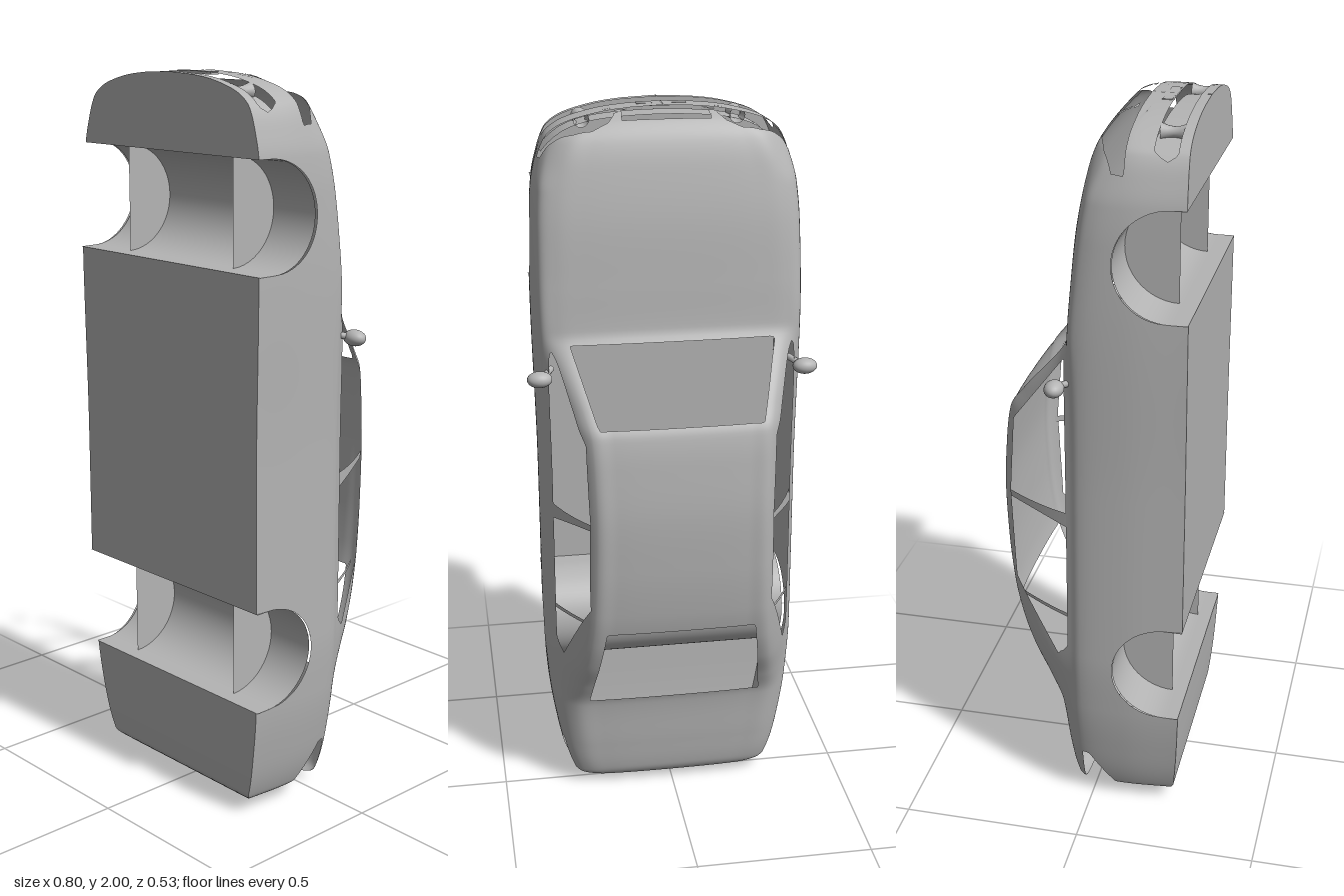
import * as THREE from 'three';

// Smooth monotone curve through [input, value] pairs
function curve(pts) {
  const n = pts.length, d = [], m = [];
  for (let i = 0; i < n - 1; i++) d.push((pts[i + 1][1] - pts[i][1]) / (pts[i + 1][0] - pts[i][0]));
  for (let i = 0; i < n; i++) {
    if (i === 0) m.push(d[0]);
    else if (i === n - 1) m.push(d[n - 2]);
    else m.push(d[i - 1] * d[i] > 0 ? 2 * d[i - 1] * d[i] / (d[i - 1] + d[i]) : 0);
  }
  return (x) => {
    let i = 0;
    while (i < n - 2 && x > pts[i + 1][0]) i++;
    const h = pts[i + 1][0] - pts[i][0], t = (x - pts[i][0]) / h, s = 1 - t;
    return pts[i][1] * (1 + 2 * t) * s * s + m[i] * h * t * s * s
      + pts[i + 1][1] * t * t * (3 - 2 * t) - m[i + 1] * h * t * t * s;
  };
}

// Signed distance to a convex outline, negative inside
function outline(pts) {
  let area = 0;
  pts.forEach((p, i) => { const q = pts[(i + 1) % pts.length]; area += p[0] * q[1] - q[0] * p[1]; });
  const sign = Math.sign(area);
  return (a, b) => Math.max(...pts.map((p, i) => {
    const q = pts[(i + 1) % pts.length], dx = q[0] - p[0], dy = q[1] - p[1];
    return sign * ((a - p[0]) * dy - (b - p[1]) * dx) / Math.hypot(dx, dy);
  }));
}

// Grid surface from point(u, v), trimmed where keep(x, y, z) is negative
function surface(nu, nv, point, keep = () => 1) {
  const pos = [], idx = [];
  for (let i = 0; i <= nu; i++) for (let j = 0; j <= nv; j++) pos.push(...point(i / nu, j / nv));
  for (let i = 0; i < nu; i++) for (let j = 0; j < nv; j++) {
    const a = i * (nv + 1) + j, b = a + nv + 1;
    idx.push(a, b, a + 1, b, b + 1, a + 1);
  }
  const grid = new THREE.BufferGeometry();
  grid.setAttribute('position', new THREE.Float32BufferAttribute(pos, 3));
  grid.setIndex(idx);
  grid.computeVertexNormals();
  const nor = grid.attributes.normal.array, P = [], N = [];
  const verts = [];
  for (let i = 0; i < pos.length; i += 3) {
    const p = pos.slice(i, i + 3);
    verts.push({ p, n: [nor[i], nor[i + 1], nor[i + 2]], f: keep(...p) });
  }
  const mix = (a, b, t) => a.map((v, k) => v + (b[k] - v) * t);
  for (let i = 0; i < idx.length; i += 3) {
    const tri = [verts[idx[i]], verts[idx[i + 1]], verts[idx[i + 2]]], out = [];
    tri.forEach((a, k) => {
      const b = tri[(k + 1) % 3];
      if (a.f >= 0) out.push(a);
      if ((a.f >= 0) !== (b.f >= 0)) {
        const t = a.f / (a.f - b.f);
        out.push({ p: mix(a.p, b.p, t), n: mix(a.n, b.n, t) });
      }
    });
    for (let k = 1; k < out.length - 1; k++)
      for (const v of [out[0], out[k], out[k + 1]]) { P.push(...v.p); N.push(...v.n); }
  }
  const g = new THREE.BufferGeometry();
  g.setAttribute('position', new THREE.Float32BufferAttribute(P, 3));
  g.setAttribute('normal', new THREE.Float32BufferAttribute(N, 3));
  return g;
}

// Body lines along the length (y): half width, floor, shoulder and top heights (z)
const width = curve([[0, 0.001], [0.004, 0.12], [0.015, 0.22], [0.03, 0.275], [0.05, 0.3], [0.2, 0.338], [0.33, 0.355],
  [0.5, 0.364], [1, 0.363], [1.5, 0.37], [1.7, 0.366], [1.8, 0.358], [1.86, 0.344], [1.925, 0.318], [1.955, 0.28],
  [1.985, 0.18], [1.997, 0.08], [2, 0.001]]);
const floorZ = curve([[0, 0.17], [0.02, 0.2], [0.06, 0.238], [0.33, 0.256], [0.62, 0.265], [1.5, 0.265], [1.8, 0.255], [2, 0.25]]);
const beltZ = curve([[0, 0.085], [0.015, 0], [0.04, -0.035], [0.2, -0.045], [0.5, -0.05], [1.42, -0.045], [1.6, -0.03],
  [1.8, 0], [1.9, 0.035], [1.97, 0.06], [2, 0.1]]);
const topZ = curve([[0, 0.08], [0.012, -0.01], [0.03, -0.052], [0.06, -0.068], [0.15, -0.082], [0.3, -0.1], [0.38, -0.135],
  [0.47, -0.185], [0.56, -0.22], [0.66, -0.243], [0.8, -0.258], [0.95, -0.264], [1.1, -0.255], [1.19, -0.241],
  [1.25, -0.2], [1.4, -0.08], [1.43, -0.066], [1.55, -0.057], [1.7, -0.045], [1.85, -0.02], [1.92, 0], [1.97, 0.033], [2, 0.095]]);
const roofEdge = (y) => 0.94 * width(y) * (0.91 - Math.max(0, beltZ(y) - topZ(y)));

// Wheel arches and openings
const ARCH = { r: 0.144, z: 0.215, centres: [0.472, 1.655] };
const arches = (y, z) => Math.min(...ARCH.centres.map((c) => Math.hypot(y - c, Math.min(z - ARCH.z, 0)) - ARCH.r));
const sideWindow = outline([[1.385, -0.06], [1.17, -0.22], [0.95, -0.236], [0.68, -0.224], [0.48, -0.09], [0.52, -0.06]]);
const windscreen = outline([[1.4, -0.28], [1.4, 0.28], [1.21, 0.222], [1.21, -0.222]]);
const rearWindow = outline([[0.32, -0.25], [0.32, 0.25], [0.6, 0.21], [0.6, -0.21]]);
const headlight = outline([[0.14, 0.055], [0.155, 0.035], [0.2, 0.021], [0.25, 0.023], [0.3, 0.04], [0.335, 0.065], [0.34, 0.096], [0.13, 0.096]]);
const grille = outline([[-0.12, 0.038], [0.12, 0.038], [0.11, 0.096], [-0.11, 0.096]]);
const intake = outline([[-0.31, 0.165], [0.31, 0.165], [0.322, 0.195], [0.31, 0.224], [-0.31, 0.224], [-0.322, 0.195]]);
const tailLight = outline([[-0.05, 0.085], [0.02, 0.085], [0.155, -0.005], [0.155, -0.024], [-0.05, -0.024]]);

function keepBody(x, y, z) {
  const ax = Math.abs(x);
  let f = Math.min(arches(y, z), windscreen(y, x), rearWindow(y, x), Math.max(sideWindow(y, z), roofEdge(y) - ax));
  if (y > 1.8) f = Math.min(f, headlight(ax, z), grille(x, z), intake(x, z));
  if (y < 0.2) f = Math.min(f, Math.max(tailLight(y, z), 0.13 - ax));
  return f;
}

// Cross-section from one sill over the top to the other
function section(y) {
  const w = width(y), zb = floorZ(y), belt = beltZ(y), top = topZ(y), h = Math.max(0, belt - top);
  const crown = Math.min(0.012, 0.4 * h), xr = roofEdge(y);
  const half = [[0.965 * w, zb], [w, 0.1 + 0.2 * Math.max(0, belt)], [0.98 * w, belt + 0.03], [0.94 * w, belt],
    [xr, top + crown], [0.75 * xr, top + 0.35 * crown]];
  const pts = [...half, [0, top], ...half.slice().reverse().map(([x, z]) => [-x, z])];
  return new THREE.CatmullRomCurve3(pts.map(([x, z]) => new THREE.Vector3(x, y, z)));
}

export function createModel() {
  const car = new THREE.Group();
  car.name = 'carBody';
  const paint = new THREE.MeshStandardMaterial({ color: 0xb4b4b4, side: THREE.DoubleSide });
  paint.name = 'grey';
  const add = (name, geometry, x = 0, y = 0, z = 0) => {
    const m = new THREE.Mesh(geometry, paint);
    m.name = name;
    m.position.set(x, y, z);
    car.add(m);
    return m;
  };
  const along = (u) => 0.5 * (1 - Math.cos(Math.PI * u)) + u; // closer stations at both ends

  // Outer shell with its openings
  let lastU = -1, sec;
  add('shell', surface(230, 108, (u, v) => {
    if (u !== lastU) { sec = section(along(u)); lastU = u; }
    return sec.getPoint(v).toArray();
  }, keepBody));

  // Floor, cut away over the wheels
  add('floor', surface(230, 4, (u, v) => {
    const y = along(u);
    return [(1 - 2 * v) * 0.965 * width(y), y, floorZ(y)];
  }, (x, y) => Math.min(...ARCH.centres.map((c) => Math.abs(y - c) - ARCH.r))));

  // Wheel wells across the full width, with inner walls
  for (const c of ARCH.centres) {
    const name = c > 1 ? 'front' : 'rear';
    add(name + 'WheelWell', surface(40, 2, (u, v) => {
      const s = Math.min(1, Math.max(0, u * 1.2 - 0.1)), a = Math.PI * s;
      const wall = Math.max(0, 0.1 - u * 1.2, u * 1.2 - 1.1) / 0.1;
      const y = c + ARCH.r * Math.cos(a);
      const z = ARCH.z - ARCH.r * Math.sin(a) + wall * (floorZ(y) - ARCH.z);
      return [(2 * v - 1) * 0.98 * width(y), y, z];
    }));
    for (const side of [-1, 1]) {
      const wall = add(name + 'WellWall', new THREE.CircleGeometry(ARCH.r, 32, 0, Math.PI), side * 0.208, c, ARCH.z);
      wall.rotation.set(0, Math.PI / 2, Math.PI / 2, 'YZX');
      wall.rotation.set(-Math.PI / 2, Math.PI / 2, 0, 'XYZ');
      wall.geometry.dispose();
      // half disc drawn straight in the y-z plane
      wall.rotation.set(0, 0, 0);
      wall.geometry = surface(24, 1, (u, v) => [0, ARCH.r * v * Math.cos(Math.PI * u), -ARCH.r * v * Math.sin(Math.PI * u)]);
    }
  }

  // Recessed panel behind the lower intake
  const noseY = (x) => 2 - 0.3 * x * x - 50 * x ** 6;
  add('intakePanel', surface(32, 1, (u, v) => {
    const x = (2 * u - 1) * 0.325;
    return [x, noseY(x) - 0.035, 0.155 + 0.08 * v];
  }));
  add('plateHolder', new THREE.BoxGeometry(0.134, 0.008, 0.026), 0, 1.995, 0.148);

  const strutProfile = [[0.022, -0.032], [0.016, -0.015], [0.014, 0], [0.016, 0.015], [0.022, 0.032]].map((p) => new THREE.Vector2(...p));
  for (const side of [-1, 1]) {
    // Intake strut
    add('intakeStrut', new THREE.LatheGeometry(strutProfile, 16), side * 0.213, 1.955, 0.195).rotation.x = Math.PI / 2;

    // Window pillars following the leaning side glass
    const pillar = (name, y0, y1, w0, w1, zTop) => add(name, surface(8, 1, (u, v) => {
      const z = -0.05 + u * (zTop + 0.05);
      const lean = 0.338 - 0.095 * u + 0.02 * u * (1 - u);
      return [side * lean, y0 + (y1 - y0) * u + (v - 0.5) * (w0 + (w1 - w0) * u * (2 - u)), z];
    }));
    pillar('centrePillar', 0.915, 0.935, 0.045, 0.018, -0.242);
    pillar('quarterWindowBar', 0.618, 0.622, 0.012, 0.01, -0.21);

    // Door mirror
    const head = add('mirror', new THREE.SphereGeometry(1, 24, 16), side * 0.364, 1.312, -0.079);
    head.scale.set(0.034, 0.022, 0.026);
    const stalk = new THREE.TubeGeometry(new THREE.LineCurve3(
      new THREE.Vector3(side * 0.328, 1.325, -0.03), new THREE.Vector3(side * 0.353, 1.315, -0.07)), 1, 0.009, 10);
    add('mirrorStalk', stalk);
  }
  return car;
}
